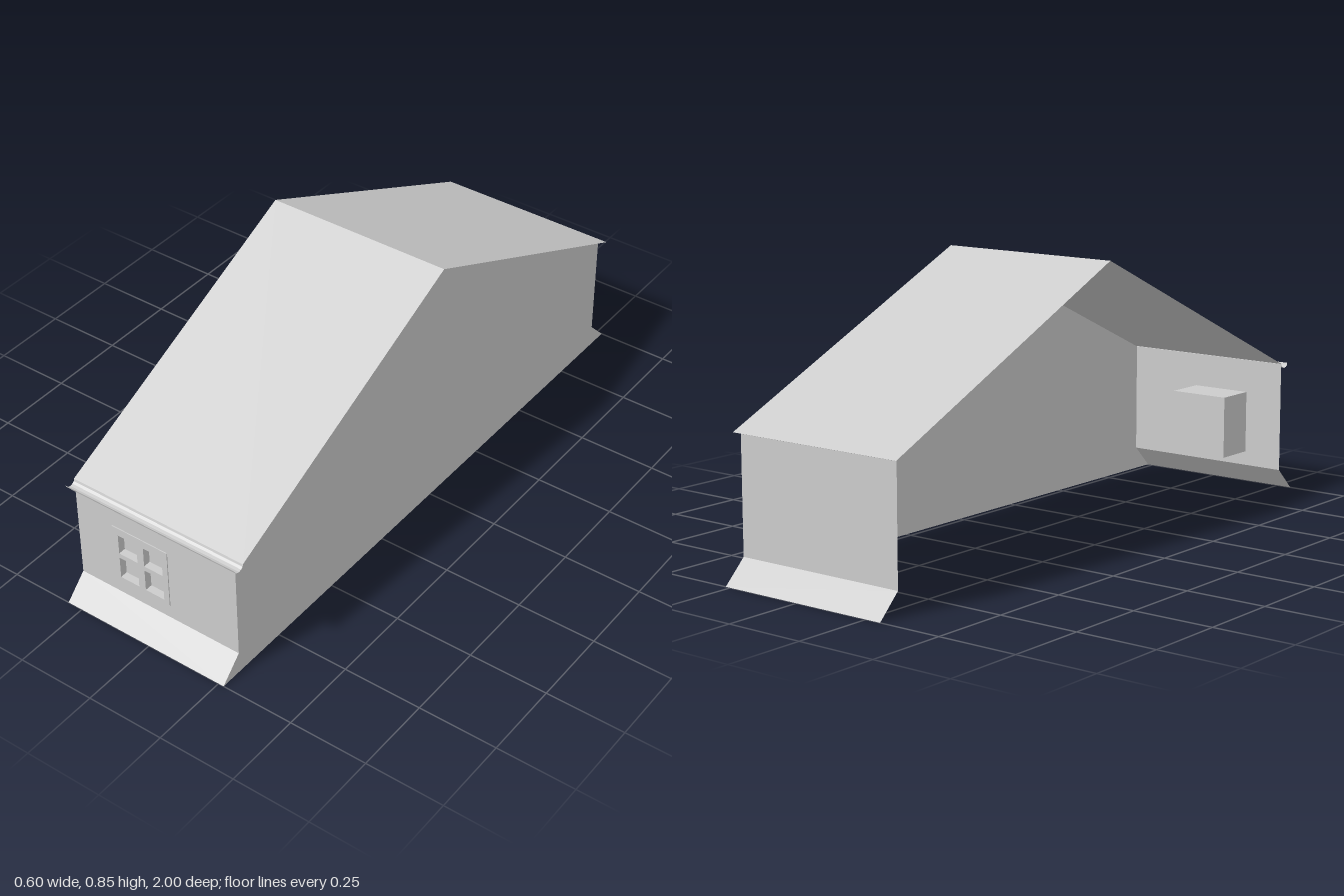
import * as THREE from 'three';

const X0 = -0.3, WALL_X = 0.268, ROOF_X = 0.297; // open end, gable end, roof end
const WALL_Z = 0.929, SKIRT_Y = 0.07, EAVE_Y = 0.417, RIDGE_Y = 0.843;

const sheetMaterial = new THREE.MeshStandardMaterial({
  color: 0xcccccc, flatShading: true, side: THREE.DoubleSide,
});
const solidMaterial = new THREE.MeshStandardMaterial({ color: 0xcccccc, flatShading: true });

function add(parent, name, geometry, material = sheetMaterial) {
  const mesh = new THREE.Mesh(geometry, material);
  mesh.name = name;
  parent.add(mesh);
  return mesh;
}

// Thin sheet: a profile of [z, y] points swept along x
function sheet(profile, x0, x1) {
  const position = [];
  for (let i = 0; i < profile.length - 1; i++) {
    const [za, ya] = profile[i], [zb, yb] = profile[i + 1];
    position.push(x0, ya, za, x1, yb, zb, x1, ya, za);
    position.push(x0, ya, za, x0, yb, zb, x1, yb, zb);
  }
  const geometry = new THREE.BufferGeometry();
  geometry.setAttribute('position', new THREE.Float32BufferAttribute(position, 3));
  geometry.computeVertexNormals();
  return geometry;
}

function rect(Type, x0, y0, x1, y1) {
  return new Type([[x0, y0], [x1, y0], [x1, y1], [x0, y1]].map(([x, y]) => new THREE.Vector2(x, y)));
}

export function createModel() {
  const house = new THREE.Group();
  house.name = 'house';

  // Gable wall, including the flared feet
  const gable = new THREE.Shape([
    [1, 0], [WALL_Z, SKIRT_Y], [WALL_Z, EAVE_Y], [0, RIDGE_Y - 0.003],
    [-WALL_Z, EAVE_Y], [-WALL_Z, SKIRT_Y], [-1, 0],
  ].map(([z, y]) => new THREE.Vector2(-z, y)));
  add(house, 'gableWall', new THREE.ShapeGeometry(gable).rotateY(Math.PI / 2).translate(WALL_X, 0, 0));

  // Front wall with window opening, plain back wall
  const win = { x0: -0.17, x1: 0.027, y0: 0.115, y1: 0.312 };
  const front = rect(THREE.Shape, X0, SKIRT_Y, WALL_X, EAVE_Y);
  front.holes.push(rect(THREE.Path, win.x0, win.y0, win.x1, win.y1));
  add(house, 'frontWall', new THREE.ShapeGeometry(front).translate(0, 0, WALL_Z));
  add(house, 'backWall', sheet([[-WALL_Z, EAVE_Y], [-WALL_Z, SKIRT_Y]], X0, WALL_X));

  // Sloping skirts and roof slopes, front and back
  for (const [side, s] of [['front', 1], ['back', -1]]) {
    add(house, side + 'Skirt', sheet([[s * WALL_Z, SKIRT_Y], [s, 0]], X0, WALL_X));
    add(house, side + 'Roof', sheet([[0, RIDGE_Y + 0.002], [s * (WALL_Z + 0.002), EAVE_Y + 0.001]], X0, ROOF_X));
  }

  // Half-round gutter along the front eave
  const gutter = [];
  for (let i = 0; i <= 6; i++) {
    const a = Math.PI * (1 + i / 6);
    gutter.push([0.948 + 0.018 * Math.cos(a), EAVE_Y + 0.014 * Math.sin(a)]);
  }
  add(house, 'gutter', sheet(gutter, X0, ROOF_X));

  // Window: frame with four recessed panes, and the box behind it
  const windowGroup = new THREE.Group();
  windowGroup.name = 'window';
  house.add(windowGroup);
  const frame = rect(THREE.Shape, win.x0, win.y0, win.x1, win.y1);
  for (const [x0, x1] of [[-0.15, -0.083], [-0.059, 0.008]])
    for (const [y0, y1] of [[0.13, 0.203], [0.219, 0.286]])
      frame.holes.push(rect(THREE.Path, x0, y0, x1, y1));
  const frameBack = 0.908, boxBack = 0.8;
  add(windowGroup, 'windowFrame',
    new THREE.ExtrudeGeometry(frame, { depth: 0.932 - frameBack, bevelEnabled: false }).translate(0, 0, frameBack),
    solidMaterial);
  const box = add(windowGroup, 'windowBox',
    new THREE.BoxGeometry(win.x1 - win.x0, win.y1 - win.y0, frameBack - boxBack), solidMaterial);
  box.position.set((win.x0 + win.x1) / 2, (win.y0 + win.y1) / 2, (frameBack + boxBack) / 2);

  return house;
}
